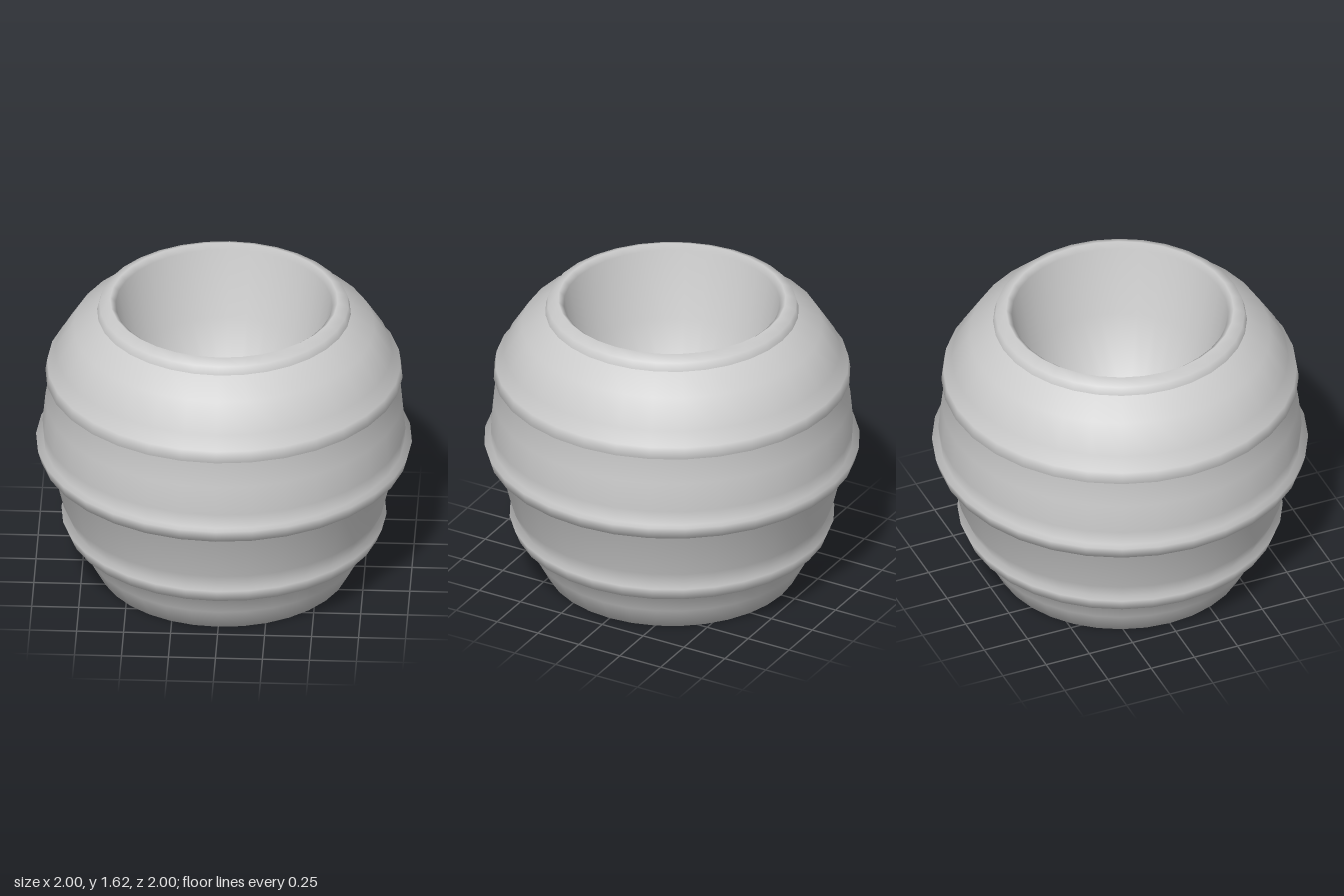
import * as THREE from 'three';

const material = new THREE.MeshStandardMaterial({ color: 0xcccccc });

// Revolve a list of [radius, height] pairs into a smooth 32-sided part
function turned(name, profile) {
  const points = profile.map(([r, y]) => new THREE.Vector2(r, y));
  const mesh = new THREE.Mesh(new THREE.LatheGeometry(points, 32), material);
  mesh.name = name;
  return mesh;
}

// A raised hoop: step out from the wall, rise, step back in
const hoop = (wallLow, low, y0, high, wallHigh, y1) =>
  [[wallLow, y0], [low, y0], [high, y1], [wallHigh, y1]];

export function createModel() {
  const pot = new THREE.Group();
  pot.name = 'pot';

  // Flat base, bulging wall and three hoops in one continuous skin
  pot.add(turned('bodyWithHoops', [
    [0, 0], [0.67, 0], [0.74, 0.13],
    ...hoop(0.78, 0.835, 0.255, 0.865, 0.82, 0.33),
    [0.86, 0.42],
    ...hoop(0.93, 0.98, 0.705, 1.0, 0.96, 0.775),
    [0.965, 0.86], [0.95, 1.02],
    ...hoop(0.925, 0.95, 1.17, 0.94, 0.91, 1.235),
    [0.895, 1.31], [0.8, 1.46], [0.675, 1.55],
  ]));

  // Rounded lip running into the hollow inside
  pot.add(turned('lipAndHollow', [
    [0.675, 1.55], [0.662, 1.595], [0.605, 1.62], [0.575, 1.595],
    [0.5, 1.22], [0.33, 0.88], [0, 0.7],
  ]));

  return pot;
}
